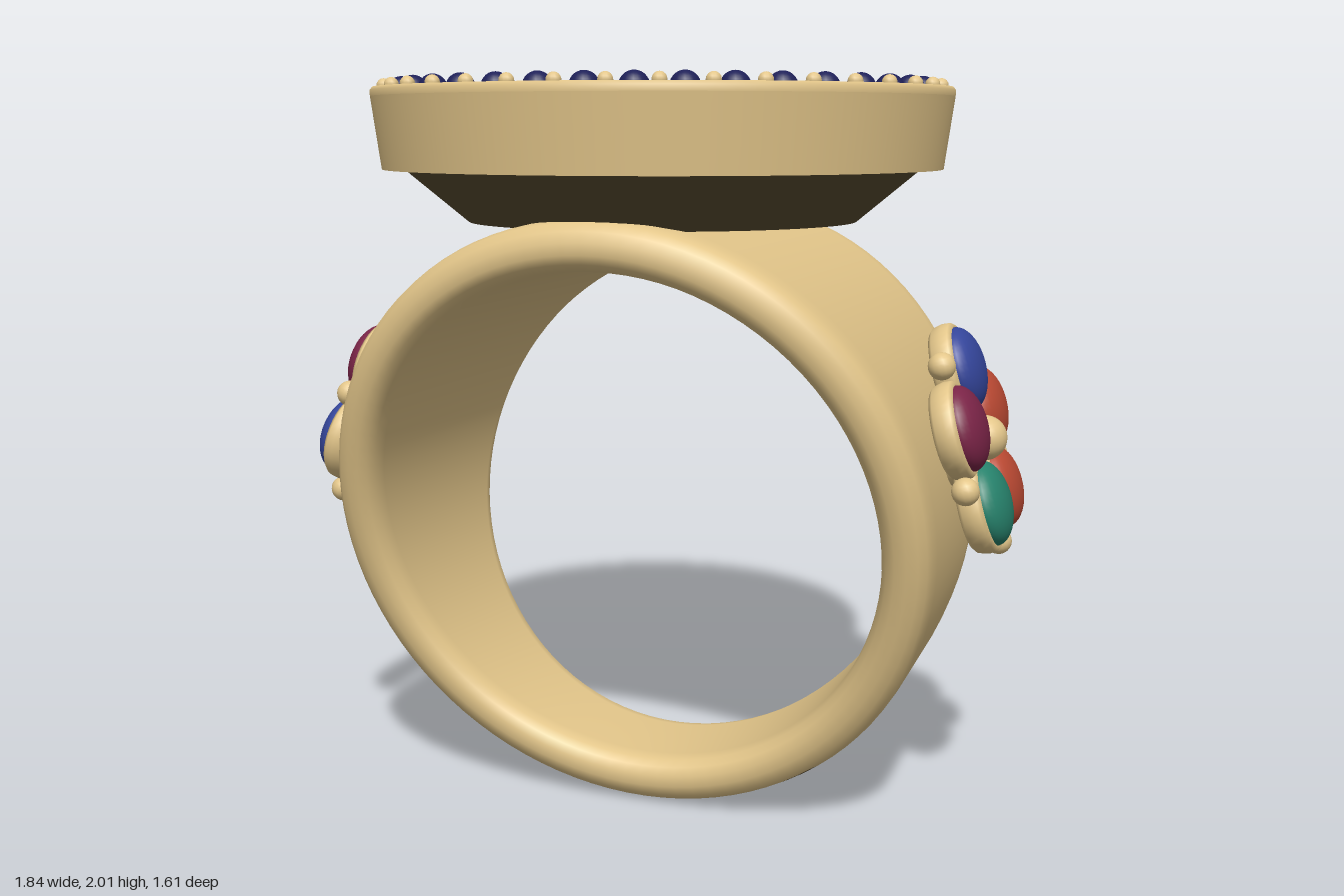
import * as THREE from 'three';

const mat = (name, color) => Object.assign(new THREE.MeshStandardMaterial({ color }), { name });

export function createModel() {
  const gold = mat('gold', 0xe3c68a);
  const shade = mat('dark bronze', 0x5a4d32);
  const navy = mat('navy', 0x1e2058);
  const blue = mat('blue', 0x34459a);
  const red = mat('red', 0xb84832);
  const magenta = mat('magenta', 0x7a2447);
  const green = mat('green', 0x27826c);

  const model = new THREE.Group();
  model.name = 'ring';
  const add = (parent, name, geometry, material, x = 0, y = 0, z = 0) => {
    const mesh = new THREE.Mesh(geometry, material);
    mesh.name = name;
    mesh.position.set(x, y, z);
    parent.add(mesh);
    return mesh;
  };
  const lathe = (points, segments) =>
    new THREE.LatheGeometry(points.map(([r, y]) => new THREE.Vector2(r, y)), segments);

  // Band: rounded cross-section swept round a circle, wider towards the top
  const CENTRE = 0.82;
  const half = [[0.07, 0.70], [0.035, 0.707], [0.012, 0.722], [0, 0.745], [0, 0.775],
    [0.012, 0.803], [0.035, 0.822], [0.065, 0.83], [0.12, 0.832]]; // inset from edge, radius
  const section = [...half.map(([e, r]) => [1, e, r]), ...half.map(([e, r]) => [-1, e, r]).reverse()];
  const STEPS = 96, N = section.length;
  const positions = [], goldFaces = [], darkFaces = [];
  for (let i = 0; i < STEPS; i++) {
    const a = (i / STEPS) * Math.PI * 2;
    const width = 0.18 + 0.26 * (CENTRE + 0.8 * Math.sin(a));
    for (const [side, inset, r] of section) {
      positions.push(r * Math.cos(a), CENTRE + r * Math.sin(a), side * (width - inset));
    }
    // the outer face at the bottom is a dark patch
    const atBottom = Math.abs(i + 0.5 - STEPS * 0.75) < 10;
    for (let j = 0; j < N; j++) {
      const k = (j + 1) % N, n = (i + 1) % STEPS;
      const p = i * N + j, q = i * N + k, s = n * N + j, t = n * N + k;
      const outer = j >= 6 && j <= N - 8;
      (atBottom && outer ? darkFaces : goldFaces).push(p, q, s, q, t, s);
    }
  }
  const bandGeometry = new THREE.BufferGeometry();
  bandGeometry.setAttribute('position', new THREE.Float32BufferAttribute(positions, 3));
  bandGeometry.setIndex([...goldFaces, ...darkFaces]);
  bandGeometry.addGroup(0, goldFaces.length, 0);
  bandGeometry.addGroup(goldFaces.length, darkFaces.length, 1);
  bandGeometry.computeVertexNormals();
  const band = add(model, 'band', bandGeometry, [gold, shade]);
  band.rotation.y = -THREE.MathUtils.degToRad(35.5);

  // Round head on a flared dark neck
  add(model, 'headNeck', new THREE.CylinderGeometry(0.71, 0.53, 0.15, 96), shade, 0, 1.695, 0);
  add(model, 'headWall', new THREE.CylinderGeometry(0.782, 0.757, 0.19, 96), [gold, gold, shade], 0, 1.855, 0);
  add(model, 'headLip', lathe([[0.782, 1.95], [0.783, 1.965], [0.776, 1.974], [0.766, 1.97], [0.76, 1.958], [0.64, 1.958]], 96), gold);
  add(model, 'innerRim', lathe([[0.665, 1.955], [0.66, 1.968], [0.645, 1.977], [0.63, 1.977], [0.615, 1.968], [0.608, 1.952], [0.608, 1.945]], 96), gold);
  add(model, 'topPlate', new THREE.CylinderGeometry(0.6, 0.6, 0.025, 96), gold, 0, 1.953, 0);
  const groove = new THREE.RingGeometry(0.599, 0.611, 96);
  groove.rotateX(-Math.PI / 2);
  add(model, 'plateGroove', groove, shade, 0, 1.9665, 0);

  // Border of dark stones with small grains between them
  const stone = new THREE.SphereGeometry(0.037, 20, 14);
  const grain = new THREE.SphereGeometry(0.019, 12, 8);
  const COUNT = 38;
  for (let i = 0; i < COUNT; i++) {
    const a = ((i + 0.25) / COUNT) * Math.PI * 2;
    const b = a + Math.PI / COUNT;
    add(model, 'borderStone', stone, navy, 0.708 * Math.sin(a), 1.962, -0.708 * Math.cos(a));
    add(model, 'borderGrain', grain, gold, 0.747 * Math.sin(b), 1.976, -0.747 * Math.cos(b));
  }

  // Five-stone flower, built facing +z
  const cup = lathe([[0, -0.055], [0.11, -0.055], [0.122, -0.045], [0.128, -0.02], [0.126, 0], [0.117, 0.01], [0.105, 0.004]], 36);
  cup.rotateX(Math.PI / 2);
  const gem = new THREE.SphereGeometry(0.112, 32, 20);
  gem.scale(1, 1, 0.52);
  const bead = new THREE.SphereGeometry(0.036, 16, 12);
  const centreBead = new THREE.SphereGeometry(0.06, 24, 16);
  const stem = new THREE.CylinderGeometry(0.11, 0.11, 0.14, 24);
  stem.rotateX(Math.PI / 2);
  const petals = [blue, magenta, green, red, red];
  function flower(name, turn) {
    const group = new THREE.Group();
    group.name = name;
    petals.forEach((material, i) => {
      const a = THREE.MathUtils.degToRad(turn + i * 72);
      const b = a + Math.PI / 5;
      const x = 0.19 * Math.cos(a), y = 0.19 * Math.sin(a);
      add(group, 'stoneCup', cup, gold, x, y, 0);
      add(group, 'petalStone', gem, material, x, y, 0.006);
      add(group, 'prongBead', bead, gold, 0.278 * Math.cos(b), 0.278 * Math.sin(b), -0.015);
    });
    add(group, 'flowerStem', stem, gold, 0, 0, -0.075);
    add(group, 'centreBead', centreBead, gold, 0, 0, 0.016);
    return group;
  }

  // One flower on each shoulder, tilted to follow the band
  const tilt = THREE.MathUtils.degToRad(16);
  for (const [name, turn, heading, height] of [['leftFlower', 90, 55, 1.062], ['rightFlower', -17, 235, 1.05]]) {
    const yaw = THREE.MathUtils.degToRad(heading);
    const f = flower(name, turn);
    f.rotation.set(-tilt, yaw, 0, 'YXZ');
    f.position.set(0.882 * Math.sin(yaw), height, 0.882 * Math.cos(yaw));
    model.add(f);
  }
  return model;
}
